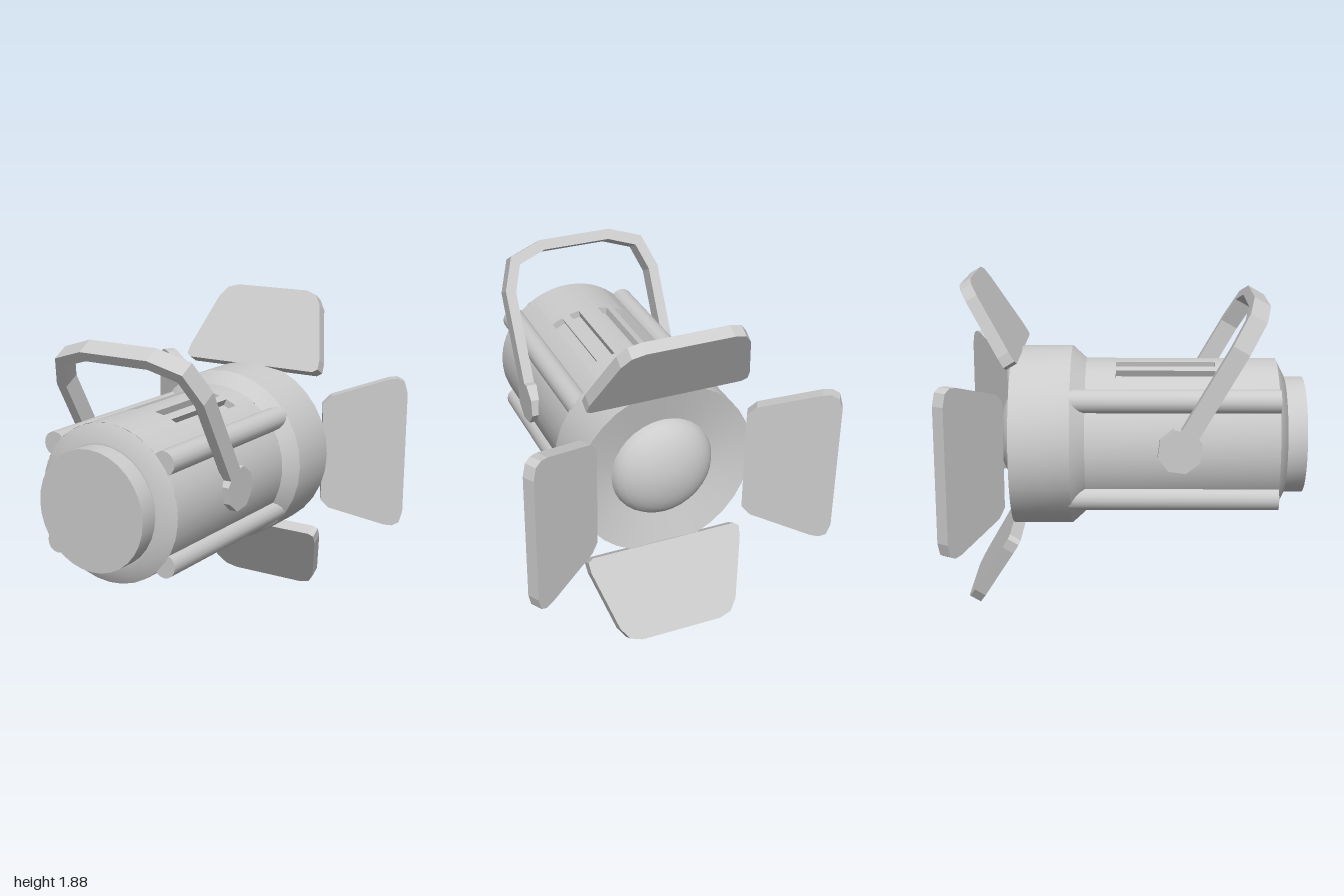
import * as THREE from 'three';
import { toCreasedNormals } from 'three/addons/utils/BufferGeometryUtils.js';

const AXIS = 0.943;   // height of the lamp axis
const R = 0.442;      // barrel radius
const material = new THREE.MeshStandardMaterial({ color: 0xcccccc, side: THREE.DoubleSide });

function add(parent, name, geometry) {
  const mesh = new THREE.Mesh(geometry, material);
  mesh.name = name;
  parent.add(mesh);
  return mesh;
}

// Turned part along z; points are [radius, z] and angles run from the underside
function turned(points, segments = 32, start = 0, length = Math.PI * 2) {
  const g = new THREE.LatheGeometry(points.map(p => new THREE.Vector2(...p)), segments, start, length);
  return toCreasedNormals(g.rotateX(Math.PI / 2), 0.5);
}

// Flat plate, centred in its thickness
function plate(points, depth) {
  const shape = new THREE.Shape(points.map(p => new THREE.Vector2(...p)));
  return new THREE.ExtrudeGeometry(shape, { depth, bevelEnabled: false }).translate(0, 0, -depth / 2);
}

// Points on the +x side, closed by their mirror images
const mirrored = half => [...half, ...half.map(([x, y]) => [-x, y]).reverse()];

function createBarrel() {
  const barrel = new THREE.Group();
  barrel.name = 'barrel';
  barrel.position.y = AXIS;

  // Flared lens hood, rear cap and lens
  add(barrel, 'lensHood', turned([[0.28, -0.6], [0.515, -0.655], [0.515, -0.32], [R, -0.24]]));
  add(barrel, 'rearCap', turned([[R, 0.84], [0.345, 0.89], [0.335, 0.89], [0.335, 1], [0, 1]]));
  const dome = [];
  for (let i = 0; i <= 8; i++) {
    const a = i / 8 * Math.PI / 2;
    dome.push([0.3 * Math.sin(a), -0.58 - 0.17 * Math.cos(a)]);
  }
  add(barrel, 'lens', turned(dome));

  // Barrel wall, with vent slots let into the top
  const z0 = -0.24, z1 = 0.84, slotBack = -0.07, slotFront = 0.49, depth = 0.04;
  const edges = [-0.225, -0.165, -0.12, -0.06, 0.06, 0.12, 0.165, 0.225].map(x => Math.asin(x / R));
  const wall = (a, b, from, to, n = 3) =>
    add(barrel, 'barrelWall', turned([[R, from], [R, to]], n, Math.PI + a, b - a));
  wall(edges[7], Math.PI * 2 + edges[0], z0, z1, 28);
  for (let i = 0; i < 7; i++) {
    const a = edges[i], b = edges[i + 1];
    if (i % 2) { wall(a, b, z0, z1); continue; }
    wall(a, b, z0, slotBack);
    wall(a, b, slotFront, z1);
    const mid = (a + b) / 2, half = (b - a) / 2;
    const box = new THREE.BoxGeometry(2 * R * Math.sin(half), depth, slotFront - slotBack);
    box.setIndex([...box.index.array].filter((v, k) => k < 12 || k >= 18));   // open top
    box.translate(0, R * Math.cos(half) - depth / 2, (slotFront + slotBack) / 2);
    add(barrel, 'ventSlot', box).rotation.z = -mid;
  }

  // Four round rails along the barrel
  for (const sx of [-1, 1]) for (const sy of [-1, 1]) {
    const rail = new THREE.CylinderGeometry(0.067, 0.067, 1.17, 16).rotateX(Math.PI / 2);
    add(barrel, 'rail', rail).position.set(sx * 0.355, sy * 0.278, 0.255);
  }
  return barrel;
}

// Tilted carrying yoke with octagonal pivots
function createYoke() {
  const yoke = new THREE.Group();
  yoke.name = 'yoke';
  yoke.position.set(0, 0.965, 0.285);
  yoke.rotation.x = Math.PI / 6;
  const outer = mirrored([[0.48, 0], [0.48, 0.65], [0.41, 0.84], [0.215, 0.91]]);
  const inner = mirrored([[0.42, 0], [0.42, 0.635], [0.365, 0.79], [0.2, 0.85]]);
  add(yoke, 'yokeBar', plate([...outer, ...inner.reverse()], 0.105));
  for (const s of [-1, 1]) {
    const knob = new THREE.CylinderGeometry(0.127, 0.127, 0.06, 8).rotateZ(Math.PI / 2);
    add(yoke, 'pivotKnob', toCreasedNormals(knob, 0.5)).position.x = s * 0.45;
  }
  return yoke;
}

// Barn doors: tapering above and below, widening at the sides
function createBarnDoors() {
  const doors = new THREE.Group();
  doors.name = 'barnDoors';
  doors.position.y = AXIS;
  const tall = mirrored([[0.43, 0], [0.46, 0.02], [0.455, 0.08], [0.355, 0.42], [0.31, 0.485], [0.24, 0.508]]);
  const wide = mirrored([[0.3, 0], [0.35, 0.05], [0.455, 0.39], [0.46, 0.44], [0.44, 0.48], [0.37, 0.5]]);
  for (let i = 0; i < 4; i++) {
    const arm = new THREE.Group();
    arm.name = 'barnDoor';
    arm.rotation.z = i * Math.PI / 2;
    const side = i % 2 === 1;
    const door = add(arm, 'doorPlate', plate(side ? wide : tall, 0.07));
    door.position.set(0, side ? 0.45 : 0.487, side ? -0.71 : -0.63);
    door.rotation.x = THREE.MathUtils.degToRad(-31);
    doors.add(arm);
  }
  return doors;
}

export function createModel() {
  const model = new THREE.Group();
  model.name = 'stageSpotlight';
  model.add(createBarrel(), createYoke(), createBarnDoors());
  return model;
}
